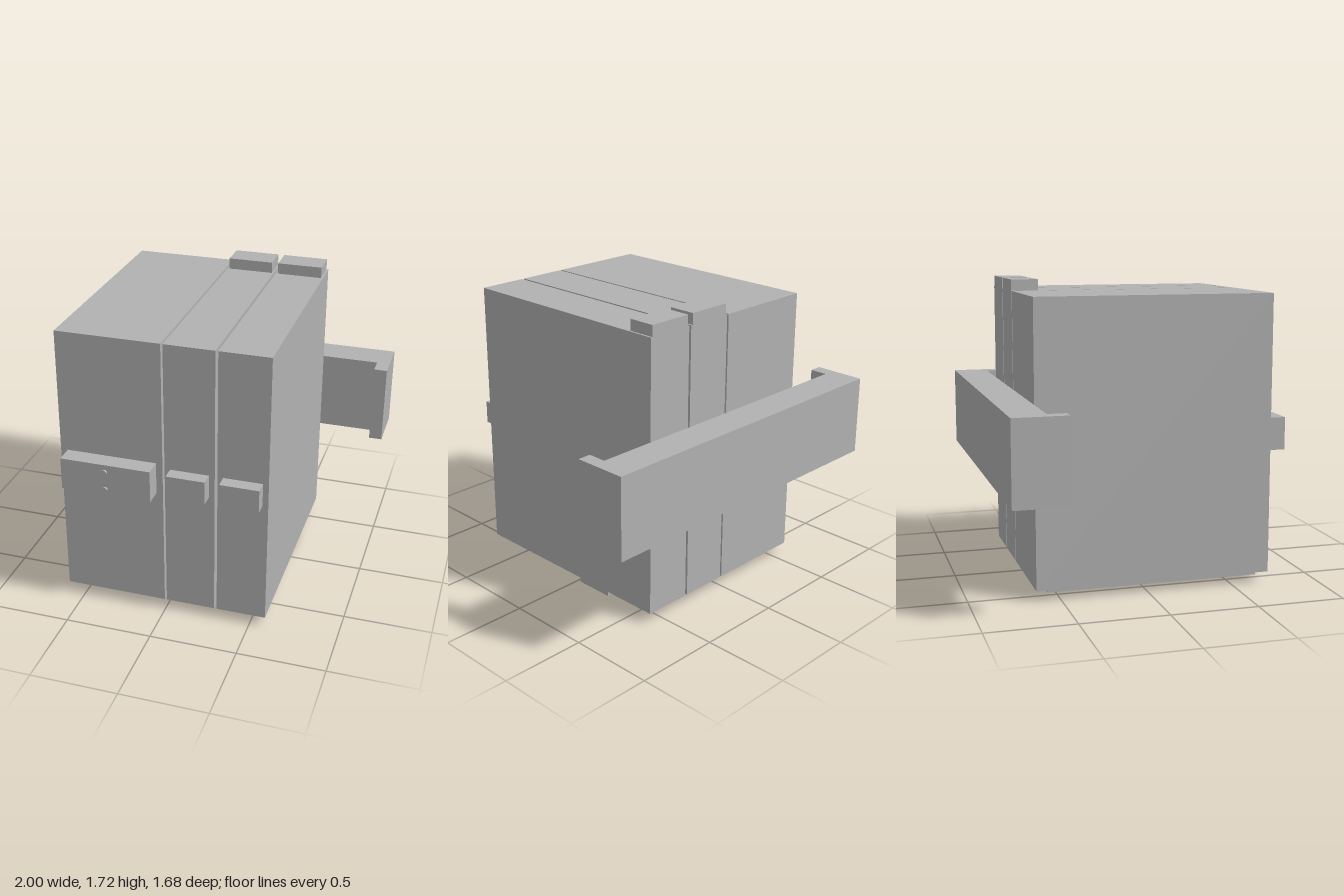
import * as THREE from 'three';

export function createModel() {
  const model = new THREE.Group();
  const grey = new THREE.MeshStandardMaterial({ color: 0xb2b2b2 });
  grey.name = 'plain grey';

  // Box given by its extents along each axis
  const box = (name, [x0, x1], [y0, y1], [z0, z1]) => {
    const mesh = new THREE.Mesh(new THREE.BoxGeometry(x1 - x0, y1 - y0, z1 - z0), grey);
    mesh.position.set((x0 + x1) / 2, (y0 + y1) / 2, (z0 + z1) / 2);
    mesh.name = name;
    model.add(mesh);
  };

  // Small round knob, upright or facing forward
  const knob = (name, x, y, z, radius, length, forward = false) => {
    const mesh = new THREE.Mesh(new THREE.CylinderGeometry(radius, radius, length, 20), grey);
    if (forward) mesh.rotation.x = Math.PI / 2;
    mesh.position.set(x, y, z);
    mesh.name = name;
    model.add(mesh);
  };

  const bodyY = [0.06, 1.66];
  const bodyZ = [-0.637, 0.722];

  // Wide cabinet with its front panel and two knobs
  box('mainCabinet', [-0.6, -0.006], bodyY, bodyZ);
  box('mainFrontPanel', [-0.56, -0.043], [0.765, 0.952], [0.722, 0.826]);
  for (const y of [0.803, 0.91]) knob('frontKnob', -0.302, y, 0.832, 0.014, 0.014, true);

  // Underside plate, hatch, switch and row of buttons
  box('basePlate', [-0.573, -0.032], [0.04, 0.06], [-0.57, 0.655]);
  box('baseHatch', [-0.435, -0.168], [0.03, 0.04], [0.383, 0.583]);
  box('baseSwitch', [-0.363, -0.24], [0.024, 0.04], [0.07, 0.125]);
  for (let i = 0; i < 5; i++) knob('baseButton', -0.302, 0.033, -0.08 - i * 0.079, 0.018, 0.014);

  // Two narrow cabinets, each with top block, front handle, base box and pins
  for (const x of [0, 0.299]) {
    box('narrowCabinet', [x + 0.006, x + 0.29], bodyY, bodyZ);
    box('topBlock', [x + 0.017, x + 0.279], [1.66, 1.724], [-0.637, -0.48]);
    box('frontHandle', [x + 0.038, x + 0.258], [0.792, 0.926], [0.722, 0.8]);
    box('baseBox', [x + 0.026, x + 0.268], [0.014, 0.06], [-0.275, -0.037]);
    for (const z of [-0.33, -0.437]) knob('basePin', x + 0.147, 0.007, z, 0.012, 0.012);
  }

  // Rear bracket with forward lips at both ends
  const bracketY = [0.622, 1.092];
  box('rearBracket', [-1, 1], bracketY, [-0.839, -0.64]);
  box('bracketLipRight', [-1, -0.923], bracketY, [-0.64, -0.534]);
  box('bracketLipLeft', [0.923, 1], bracketY, [-0.64, -0.534]);

  return model;
}
